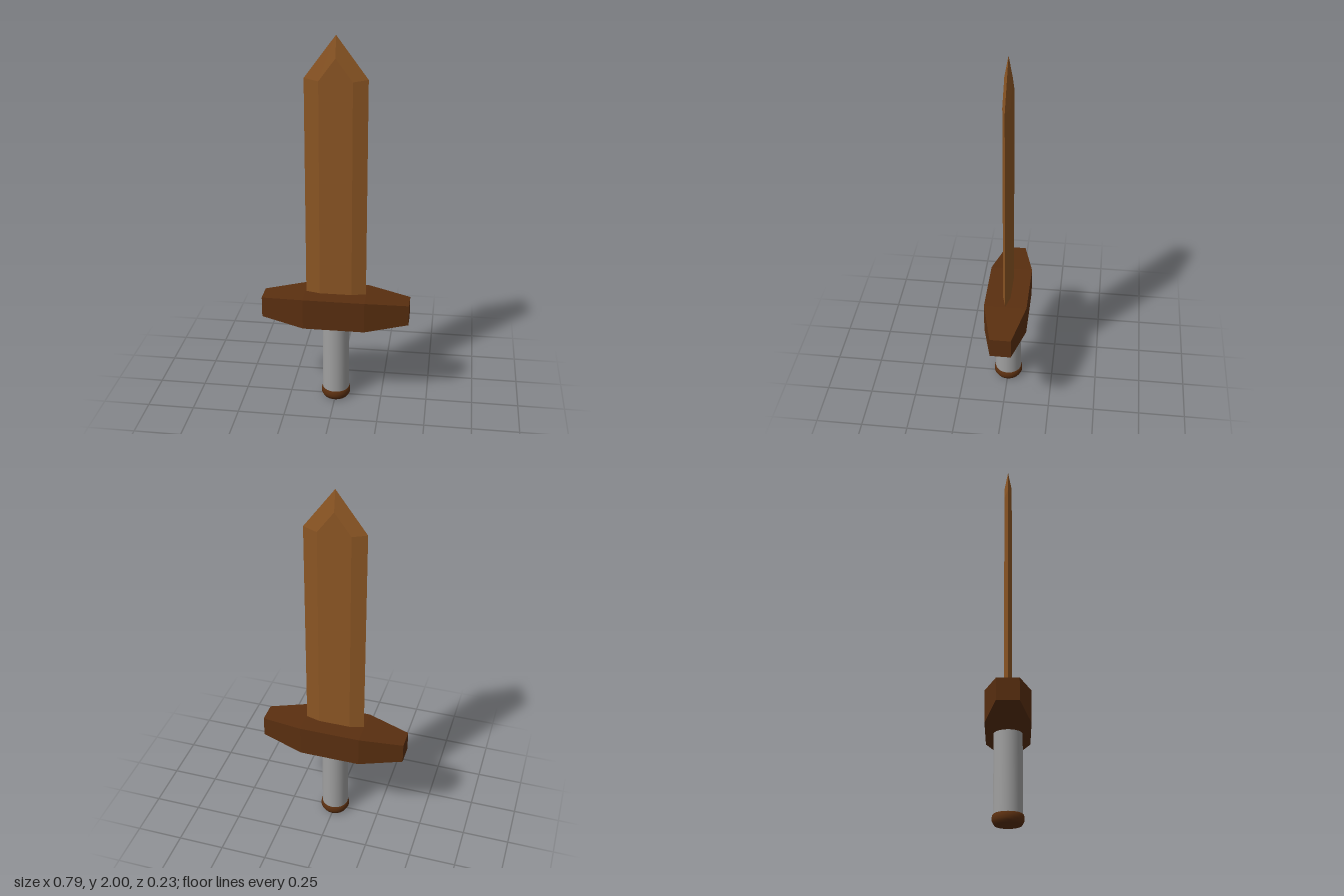
import * as THREE from 'three';

// Skins equal-sized vertex rings (counter-clockwise about the loft direction) and caps both ends
function loft(rings) {
  const pos = [];
  const tri = (a, b, c) => pos.push(...a, ...b, ...c);
  const n = rings[0].length;
  for (let r = 0; r < rings.length - 1; r++) {
    for (let i = 0; i < n; i++) {
      const j = (i + 1) % n;
      const [a, b, c, d] = [rings[r][i], rings[r][j], rings[r + 1][j], rings[r + 1][i]];
      tri(a, b, c);
      tri(a, c, d);
    }
  }
  const first = rings[0], last = rings[rings.length - 1];
  for (let i = 1; i < n - 1; i++) {
    tri(first[0], first[i + 1], first[i]);
    tri(last[0], last[i], last[i + 1]);
  }
  const g = new THREE.BufferGeometry();
  g.setAttribute('position', new THREE.Float32BufferAttribute(pos, 3));
  g.computeVertexNormals();
  return g;
}

export function createModel() {
  const model = new THREE.Group();
  const mat = (name, color) => {
    const m = new THREE.MeshStandardMaterial({ color });
    m.name = name;
    return m;
  };
  const bladeWood = mat('bladeWood', 0x8c5624);
  const darkWood = mat('darkWood', 0x5a2f10);
  const gripGrey = mat('gripGrey', 0xa0a0a0);
  const add = (name, geometry, material) => {
    const mesh = new THREE.Mesh(geometry, material);
    mesh.name = name;
    model.add(mesh);
  };

  // Blade: hexagonal section with bevelled edges, closing to a point
  const W = 0.16, F = 0.085, T = 0.02;
  const section = (w, f, t, yEdge, yFlat, yMid) => [
    [w, yEdge, 0], [f, yFlat, -t], [0, yMid, -t], [-f, yFlat, -t],
    [-w, yEdge, 0], [-f, yFlat, t], [0, yMid, t], [f, yFlat, t],
  ];
  add('blade', loft([
    section(W, F, T, 0.6, 0.6, 0.6),
    section(W, F, T, 1.785, 1.775, 1.89),
    section(0, 0, 0, 2, 2, 2),
  ]), bladeWood);

  // Crossguard: square-cut block tapering towards both ends
  const Y = 0.541;
  const slice = (x, h, d) => [[x, Y - h, d], [x, Y - h, -d], [x, Y + h, -d], [x, Y + h, d]];
  add('crossguard', loft([
    slice(-0.393, 0.056, 0.055),
    slice(-0.163, 0.084, 0.113),
    slice(0.163, 0.084, 0.113),
    slice(0.393, 0.056, 0.055),
  ]), darkWood);

  // Grip
  const grip = new THREE.CylinderGeometry(0.072, 0.072, 0.46, 32);
  grip.translate(0, 0.26, 0);
  add('grip', grip, gripGrey);

  // Pommel: rounded cap
  const profile = [[0, 0], [0.066, 0], [0.074, 0.012], [0.079, 0.022], [0.079, 0.036],
    [0.076, 0.049], [0.07, 0.055], [0, 0.055]].map(([r, y]) => new THREE.Vector2(r, y));
  add('pommel', new THREE.LatheGeometry(profile, 32), darkWood);

  return model;
}
